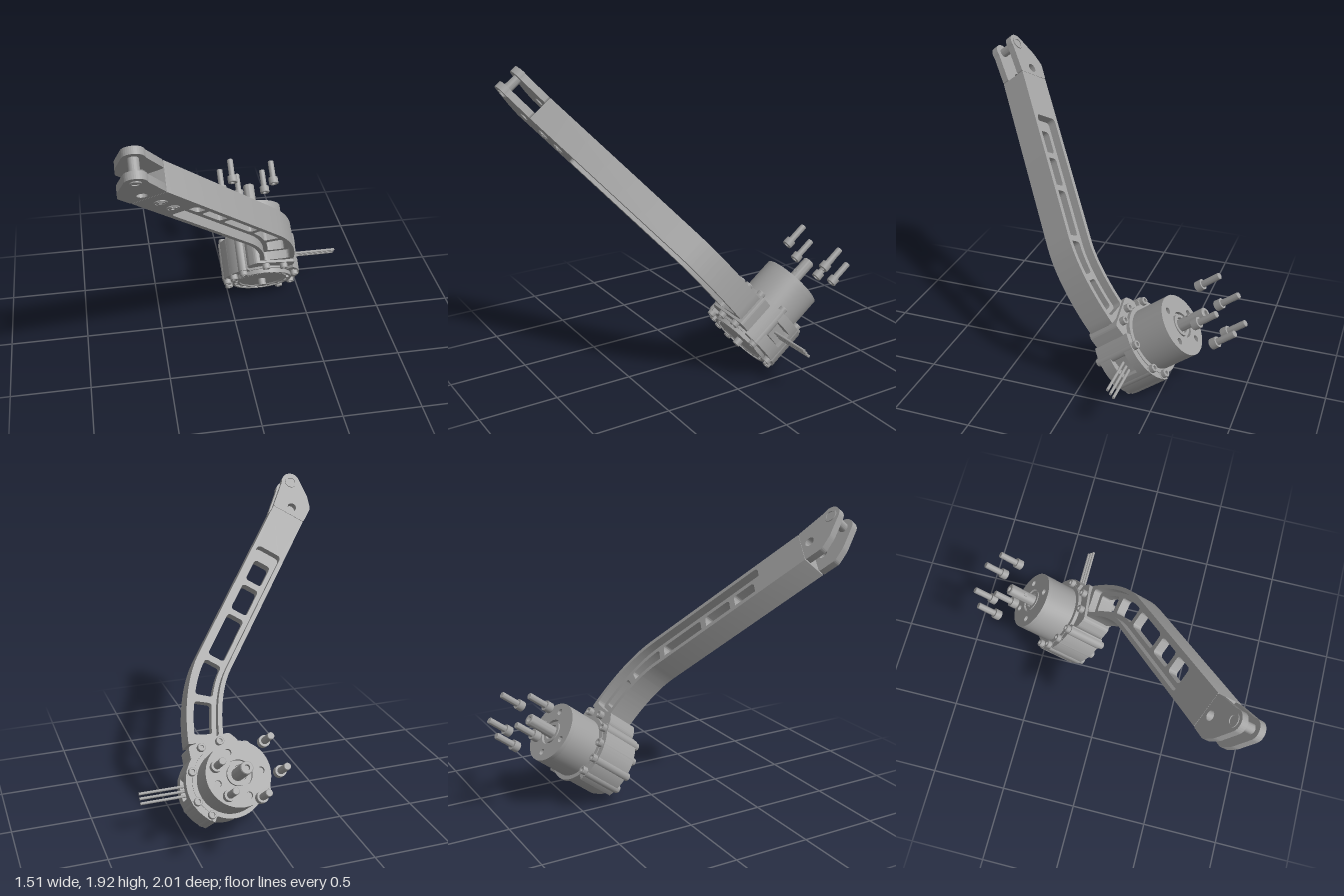
import * as THREE from 'three';
import { toCreasedNormals } from 'three/addons/utils/BufferGeometryUtils.js';

const V = (x, y) => new THREE.Vector2(x, y);
const AX = 0.22, AY = 0.02; // motor axis
const rad = THREE.MathUtils.degToRad;

export function createModel() {
  const metal = new THREE.MeshStandardMaterial({ color: 0xa0a0a0 });
  metal.name = 'grey metal';
  const model = new THREE.Group();
  model.name = 'motorArmAssembly';
  const body = new THREE.Group();
  body.name = 'tiltedAssembly';
  body.rotation.x = rad(38);
  model.add(body);

  const add = (name, geo, x = 0, y = 0, z = 0) => {
    const m = new THREE.Mesh(toCreasedNormals(geo, 0.6), metal);
    m.name = name;
    m.position.set(x, y, z);
    body.add(m);
    return m;
  };
  // plate lying between two depths
  const plate = (name, shape, z0, z1, x = 0, y = 0) =>
    add(name, new THREE.ExtrudeGeometry(shape, { depth: z1 - z0, bevelEnabled: false, curveSegments: 24 }), x, y, z0);
  // turned part about the depth axis; profile runs back to front as [radius, depth]
  const turned = (name, profile, x = AX, y = AY, z = 0, seg = 20) =>
    add(name, new THREE.LatheGeometry(profile.map(p => V(...p)), seg).rotateX(Math.PI / 2), x, y, z);
  const rod = (name, r, z0, z1, x = AX, y = AY, seg = 20) =>
    turned(name, [[0, z0], [r, z0], [r, z1], [0, z1]], x, y, 0, seg);
  const disc = (r, x = 0, y = 0) => new THREE.Path().absarc(x, y, r, 0, Math.PI * 2);
  const discShape = r => new THREE.Shape().absarc(0, 0, r, 0, Math.PI * 2);
  const rounded = (pts, r, Type = THREE.Shape) => {
    const s = new Type(), n = pts.length;
    pts.forEach((p, i) => {
      const a = pts[(i + n - 1) % n], b = pts[(i + 1) % n];
      const toward = q => p.clone().lerp(q, Math.min(0.45, r / p.distanceTo(q)));
      const p0 = toward(a), p1 = toward(b);
      i ? s.lineTo(p0.x, p0.y) : s.moveTo(p0.x, p0.y);
      s.quadraticCurveTo(p.x, p.y, p1.x, p1.y);
    });
    s.closePath();
    return s;
  };
  const sector = (r0, r1, a0, a1) => {
    const s = new THREE.Shape();
    s.absarc(0, 0, r1, rad(a0), rad(a1), false);
    s.absarc(0, 0, r0, rad(a1), rad(a0), true);
    return s;
  };

  // --- Arm: straight centre line (s < 0) followed by a bend (s > 0)
  const bend = new THREE.CubicBezierCurve(V(0.139, 0.793), V(0.235, 0.665), V(0.285, 0.47), V(0.297, 0.285));
  const L = bend.getLength();
  const at = (s, off) => {
    const t = s <= 0 ? V(0.6, -0.8) : bend.getTangentAt(s / L);
    const p = s <= 0 ? V(0.139, 0.793).addScaledVector(t, s) : bend.getPointAt(s / L);
    return V(p.x - t.y * off, p.y + t.x * off);
  };
  const strip = (s0, s1, half) => {
    const stops = [s0];
    for (let i = 0; i <= 12; i++) {
      const s = L * i / 12;
      if (s > s0 + 0.02 && s < s1 - 0.02) stops.push(s);
    }
    stops.push(s1);
    return [...stops.map(s => at(s, -half)), ...stops.reverse().map(s => at(s, half))];
  };
  const BACK = -0.505, FRONT = -0.327;
  const frame = rounded(strip(-1.215, L, 0.114), 0.002);
  frame.holes.push(rounded(strip(-0.89, L - 0.035, 0.086), 0.03, THREE.Path));
  plate('armFrame', frame, BACK, FRONT);
  const web = rounded(strip(-0.9, L - 0.03, 0.09), 0.01);
  [[-0.81, -0.65], [-0.61, -0.41], [-0.37, -0.05], [-0.01, 0.22], [0.265, L - 0.065]].forEach(([a, b]) =>
    web.holes.push(rounded(strip(a, b, 0.057), 0.025, THREE.Path)));
  plate('armWeb', web, -0.45, -0.385);

  // --- Fork at the arm tip
  const lobe = [];
  for (let i = 0; i <= 10; i++) {
    const a = rad(5 + 17 * i);
    lobe.push(V(-0.663 + 0.064 * Math.cos(a), 2.0 + 0.064 * Math.sin(a)));
  }
  const lug = rounded([V(-0.685, 1.697), V(-0.499, 1.835), ...lobe, V(-0.757, 1.88), V(-0.757, 1.79)], 0.015);
  lug.holes.push(disc(0.03, -0.627, 1.81));
  plate('rearForkLug', lug, BACK, BACK + 0.045);
  plate('frontForkLug', lug, FRONT - 0.045, FRONT);
  turned('forkPin', [[0, -0.495], [0.028, -0.495], [0.028, -0.511], [0.042, -0.511], [0.042, -0.5], [0.03, -0.5],
    [0.03, -0.332], [0.032, -0.332], [0.032, -0.321], [0.022, -0.321], [0.022, -0.335], [0, -0.335]], -0.663, 2.0);
  // socket screws let into the solid part of the arm
  [[-0.528, 1.678], [-0.457, 1.574]].forEach(([x, y]) => {
    turned('armSocketScrew', [[0.038, FRONT - 0.01], [0.038, FRONT + 0.006], [0.03, FRONT + 0.006],
      [0.03, FRONT + 0.001], [0.024, FRONT + 0.001], [0.024, FRONT + 0.008], [0.012, FRONT + 0.008],
      [0.012, FRONT + 0.001], [0, FRONT + 0.001]], x, y);
  });

  // --- Motor housing
  rod('housingCore', 0.214, -0.545, -0.295, AX, AY, 48);
  const wing = (name, a0, a1, z0 = -0.55, z1 = -0.292) => plate(name, sector(0.2, 0.266, a0, a1), z0, z1, AX, AY);
  wing('leftLowerWing', -60, -12);
  wing('leftUpperWing', 22, 42);
  wing('leftWingFront', -12, 22, -0.375);
  wing('leftWingBack', -12, 22, -0.55, -0.485);
  wing('rightWing', 118, 214);
  plate('rearFlange', discShape(0.228), -0.555, -0.53, AX, AY);
  const saddle = rounded([V(0.1, 0.17), V(0.42, 0.15), V(0.42, 0.275), V(0.15, 0.325), V(0.1, 0.27)], 0.02);
  plate('armSaddle', saddle, -0.525, -0.31);

  // --- Slotted front ring, rotor face and front shaft
  const ring = discShape(0.205);
  ring.holes.push(disc(0.19));
  plate('frontRing', ring, -0.3, -0.266, AX, AY);
  turned('rotorFace', [[0.17, -0.3], [0.17, -0.27], [0.155, -0.27], [0.15, -0.276], [0, -0.276]], AX, AY, 0, 48);
  for (let i = 0; i < 16; i++) {
    const a = i * Math.PI / 8;
    const spoke = add('ringSpoke', new THREE.BoxGeometry(0.04, 0.018, 0.03),
      AX + 0.178 * Math.cos(a), AY + 0.178 * Math.sin(a), -0.285);
    spoke.rotation.z = a;
  }
  rod('frontShaft', 0.026, -0.28, -0.232);

  // --- Rear can with drilled end cap
  turned('motorCan', [[0.2, -0.76], [0.2, -0.55]], AX, AY, 0, 48);
  const cap = discShape(0.2);
  cap.holes.push(disc(0.085));
  [74, -16, 180, -106].forEach(a => cap.holes.push(disc(0.021, 0.14 * Math.cos(rad(a)), 0.14 * Math.sin(rad(a)))));
  plate('endCap', cap, -0.787, -0.755, AX, AY);
  rod('endCapFloor', 0.199, -0.765, -0.755, AX, AY, 48);
  turned('bearingRing', [[0.05, -0.76], [0.05, -0.785], [0.07, -0.785], [0.07, -0.76]], AX, AY, 0, 32);
  turned('rearShaft', [[0, -0.945], [0.018, -0.945], [0.018, -0.972], [0.034, -0.972], [0.039, -0.966],
    [0.039, -0.75]], AX, AY, 0, 24);
  rod('shaftSetScrew', 0.013, -0.004, 0.004, AX, AY + 0.038, 12).position.z = -0.86;
  body.children.at(-1).rotation.x = Math.PI / 2;
  body.children.at(-1).position.z = -0.86;

  // --- Bolts: socket heads in front, plain ends behind
  const head = (x, y, z, dir) => {
    const m = turned('boltHead', [[0.026, 0], [0.026, 0.03], [0.023, 0.034], [0.013, 0.034], [0.013, 0.018], [0, 0.018]], x, y, z);
    if (dir < 0) m.rotation.x = Math.PI;
  };
  [[-0.22, -0.09], [-0.24, 0.01], [-0.205, 0.11], [-0.148, 0.2], [0.216, 0.09], [0.216, -0.094], [0.145, -0.185]].forEach(([x, y]) => {
    head(AX + x, AY + y, -0.294, 1);
    head(AX + x, AY + y, -0.548, -1);
    rod('boltBoss', 0.034, -0.552, -0.29, AX + x, AY + y);
  });
  [[0.222, 0.275], [0.345, 0.253]].forEach(([x, y]) => {
    head(x, y, -0.31, 1);
    head(x, y, -0.525, -1);
  });

  // --- Connector and wires on the side
  add('connectorBlock', new THREE.BoxGeometry(0.05, 0.11, 0.09), 0.435, 0.03, -0.43);
  [0.05, 0.02, -0.01].forEach(y => {
    const g = new THREE.CylinderGeometry(0.009, 0.009, 0.307, 12).rotateZ(Math.PI / 2);
    add('wire', g, 0.603, y, -0.43);
  });

  // --- Loose mounting screws behind the motor
  [[-0.127, 0.132], [0.18, 0.033], [-0.185, -0.054], [0.138, -0.142], [-0.047, -0.183]].forEach(([x, y]) =>
    turned('looseScrew', [[0, -1.13], [0.018, -1.13], [0.021, -1.126], [0.021, -1.002], [0.034, -1.002],
      [0.034, -0.958], [0.031, -0.955], [0.016, -0.955], [0.016, -0.98], [0, -0.98]], AX + x, AY + y));

  return model;
}
